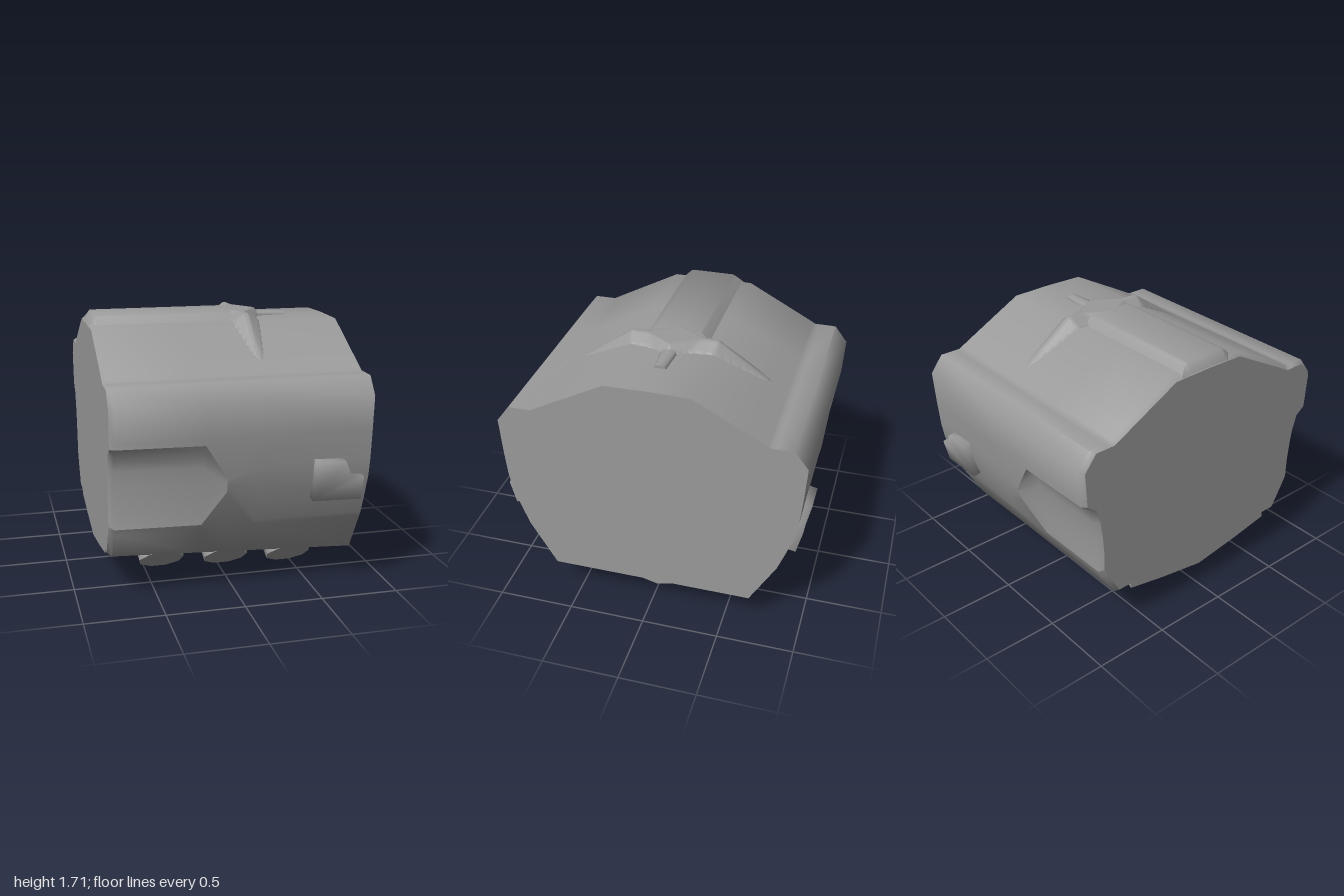
import * as THREE from 'three';
import { toCreasedNormals } from 'three/addons/utils/BufferGeometryUtils.js';

const material = new THREE.MeshStandardMaterial({ color: 0x9a9a9a });
const { lerp, clamp } = THREE.MathUtils;

function part(name, geometry, parent, crease) {
  const mesh = new THREE.Mesh(toCreasedNormals(geometry, crease), material);
  mesh.name = name;
  parent.add(mesh);
  return mesh;
}

function soup(pos) {
  const g = new THREE.BufferGeometry();
  g.setAttribute('position', new THREE.Float32BufferAttribute(pos, 3));
  return g;
}

// Full ring from a half profile of [z, y], top centre to bottom centre
function ring({ x, half }) {
  const other = half.slice(1, -1).reverse().map(([z, y]) => [-z, y]);
  return [...half, ...other].map(([z, y]) => [x, y, z]);
}

// Skin between stations; keep(station, row) picks the quads
function loft(stations, keep = () => true) {
  const pos = [], rings = stations.map(ring), n = rings[0].length;
  for (let s = 0; s < rings.length - 1; s++) {
    for (let i = 0; i < n; i++) {
      if (!keep(s, Math.min(i, n - 1 - i))) continue;
      const j = (i + 1) % n;
      const a = rings[s][i], b = rings[s][j], c = rings[s + 1][j], d = rings[s + 1][i];
      pos.push(...a, ...b, ...c, ...a, ...c, ...d);
    }
  }
  return soup(pos);
}

// Flat faces closing both ends of a loft
function endCaps(stations) {
  const pos = [], first = ring(stations[0]), last = ring(stations[stations.length - 1]);
  for (const loop of [first.reverse(), last]) {
    const ys = loop.map((p) => p[1]);
    const mid = [loop[0][0], (Math.min(...ys) + Math.max(...ys)) / 2, 0];
    loop.forEach((a, i) => pos.push(...mid, ...a, ...loop[(i + 1) % loop.length]));
  }
  return soup(pos);
}

// Half width of the hull side at height y
const side = [[1.29, 0.975], [1.05, 0.96], [0.82, 0.94], [0.73, 0.915], [0.5, 0.83], [0.2, 0.66]];
function sideZ(y) {
  const i = side.findIndex(([low]) => y >= low);
  const [y0, z0] = side[i - 1], [y1, z1] = side[i];
  return lerp(z0, z1, (y0 - y) / (y0 - y1));
}

// Recess rows: [fraction down, distance pushed in]
const hollow = [[0, 0], [0.1, 0.055], [0.3, 0.06], [0.5, 0.05], [0.75, 0.03], [1, 0]];
const recessStart = 9;
const inRecess = (s, row) => s < 3 && row >= recessStart && row < recessStart + hollow.length - 1;

// Hull section; depth scales the recess, 0 narrows to a point, null leaves the plain side
function hullSection({ x, yTop = 1.05, yBot = 0.5, depth = null, inset = 1 }) {
  const yLow = lerp(0.3, 0.2, (x + 0.8) / 1.61);
  const half = [[0, 1.66], [0.27, 1.655], [0.62, 1.47], [0.73, 1.411], [0.75, 1.4], [0.78, 1.4],
    [0.89, 1.4], [0.975, 1.29], [sideZ(1.08), 1.08]];
  for (const [t, push] of hollow) {
    const y = lerp(yTop, yBot, t);
    half.push([depth === null ? sideZ(y) : lerp(sideZ(yTop), sideZ(yBot), t) - push * depth, y]);
  }
  half.push([sideZ(0.47), 0.47], [sideZ(yLow), yLow], [0, yLow]);
  return { x, half: half.map(([z, y]) => [z * inset, 0.95 + (y - 0.95) * inset]) };
}

// Height of the hub and its two wings above the roof
function hubHeight(x, z) {
  const az = Math.abs(z);
  const roof = az < 0.27 ? 1.657 : lerp(1.657, 1.47, (az - 0.27) / 0.35);
  const d = Math.abs(x - 0.19) / 0.19 + az / 0.3;
  const hub = 0.054 * clamp((1 - d) * 3, 0, 1) * clamp((0.26 - az) / 0.06, 0, 1);
  const crest = az < 0.28 ? 1.711 : lerp(1.711, 1.465, (az - 0.28) / 0.35);
  const width = lerp(0.1, 0.03, clamp((az - 0.15) / 0.45, 0, 1));
  const wing = Math.max(0, crest - roof) * clamp(1.15 - Math.abs(x - 0.19) / width, 0, 1);
  const rise = Math.max(hub, wing);
  return roof + (rise > 0.002 ? rise : -0.012);
}

export function createModel() {
  const model = new THREE.Group();
  model.name = 'hullSection';

  // Main hull with a hollow on each side
  const sections = [
    { x: -0.81, yBot: 0.52, depth: 1, inset: 0.97 },
    { x: -0.78, yBot: 0.515, depth: 1 },
    { x: -0.24, yTop: 1.04, depth: 0.9 },
    { x: -0.1, yTop: 0.82, yBot: 0.73, depth: 0 },
    { x: 0.1 },
    { x: 0.805 },
  ].map(hullSection);
  part('hull', loft(sections, (s, row) => !inRecess(s, row)), model, 1.1);
  part('sideRecesses', loft(sections, inRecess), model, 1.1);
  part('hullEnds', endCaps(sections), model, 0.1);

  // Raised spine along the roof
  const spine = (x, top) => ({ x, half: [[0, top], [0.14, top], [0.16, top - 0.008], [0.22, 1.64], [0, 1.64]] });
  part('roofSpine', loft([spine(-0.808, 1.645), spine(-0.77, 1.71), spine(0.12, 1.71)]), model, 1.1);

  // Roof hub with two tapering wings
  const hub = new THREE.PlaneGeometry(0.44, 1.28, 44, 96).rotateX(-Math.PI / 2).translate(0.19, 0, 0);
  const p = hub.attributes.position;
  for (let i = 0; i < p.count; i++) p.setY(i, hubHeight(p.getX(i), p.getZ(i)));
  part('roofHub', hub, model, 1.2);

  // Stub ahead of the hub
  const stub = part('roofStub', new THREE.CylinderGeometry(0.04, 0.055, 0.22, 8), model, 0.9);
  stub.rotation.z = -Math.PI / 2;
  stub.scale.x = 0.6;
  stub.position.set(0.42, 1.657, 0);

  // Keel under the hull
  const keel = (x, low, zTop, zLow, rise) => ({
    x, half: [[0, 0.4], [zTop, 0.4], [zTop, 0.28], [zLow, low + rise], [0, low]],
  });
  const keelSections = [
    keel(-0.808, 0.175, 0.6, 0.32, 0.05),
    keel(-0.64, 0.092, 0.54, 0.24, 0.06),
    keel(0.66, 0.03, 0.46, 0.22, 0.06),
  ];
  part('keel', loft(keelSections), model, 1.1);
  part('keelEnds', endCaps(keelSections), model, 0.1);

  // Parts repeated on the front and back
  const panel = new THREE.Shape([
    [0.44, -0.135], [0.76, -0.145], [0.76, 0.015], [0.68, 0.02], [0.63, 0.13], [0.44, 0.135],
  ].map(([x, y]) => new THREE.Vector2(x, y)));
  for (const s of [1, -1]) {
    const flank = new THREE.Group();
    flank.name = s > 0 ? 'frontFlank' : 'backFlank';
    flank.scale.z = s;
    model.add(flank);

    // Notched side panel, leaning outwards at the top, with soft shading
    const plate = part('sidePanel', new THREE.ExtrudeGeometry(panel, { depth: 0.12, bevelEnabled: false }), flank, 1.6);
    plate.rotation.x = 0.235;
    plate.position.set(0, 0.792, 0.849);

    // Row of tapered thrusters pointing down and out
    const axis = new THREE.Vector3(0, -0.77, 0.63).normalize();
    for (const x of [-0.42, 0.015, 0.45]) {
      const nozzle = part('thruster', new THREE.CylinderGeometry(0.148, 0.195, 0.3, 9, 1, false, Math.PI), flank, 0.85);
      nozzle.quaternion.setFromUnitVectors(new THREE.Vector3(0, 1, 0), axis);
      nozzle.position.set(x, 0.093 + (0.45 - x) * 0.046, 0.44).addScaledVector(axis, -0.15);
    }
  }
  return model;
}
